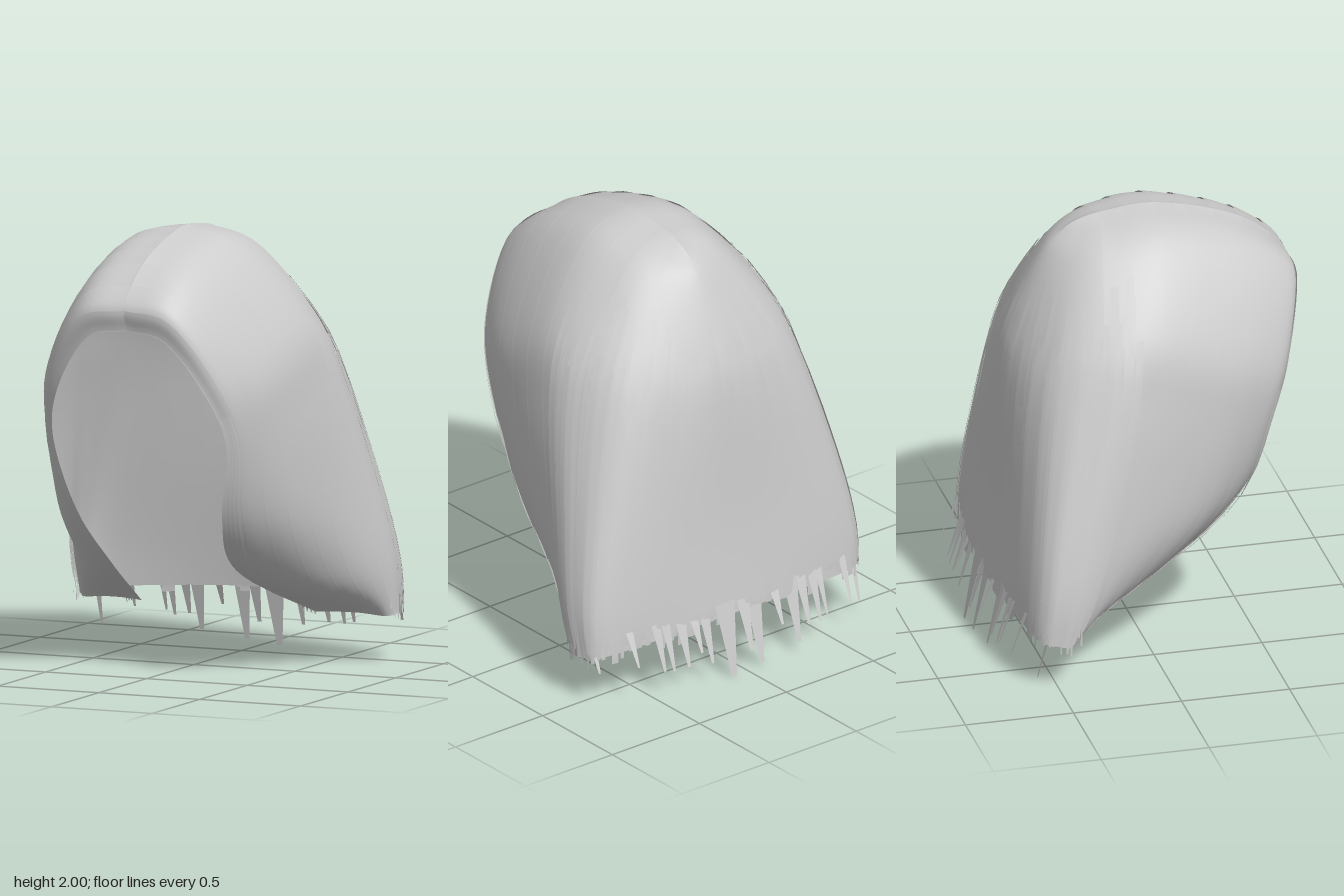
import * as THREE from 'three';

// Guide strands of the left half, from the parting down to the tip (x, y, z)
const guides = {
  fringeEdge: [0, 1.6, .72, .19, 1.56, .72, .36, 1.33, .66, .43, 1.08, .57, .36, .74, .47, .31, .47, .21, .43, .22, -.36],
  fringe: [0, 1.73, .72, .23, 1.68, .71, .43, 1.38, .61, .49, 1.1, .5, .46, .72, .37, .43, .42, .08, .52, .22, -.4],
  frontSide: [0, 1.9, .5, .26, 1.82, .48, .51, 1.46, .38, .57, 1.15, .3, .58, .72, .18, .57, .41, -.07, .63, .22, -.41],
  crown: [0, 2, .14, .27, 1.92, .12, .54, 1.58, .04, .62, 1.25, -.02, .68, .75, -.15, .72, .43, -.28, .75, .21, -.43],
  rearSide: [0, 1.985, -.11, .25, 1.89, -.15, .51, 1.57, -.21, .61, 1.28, -.26, .72, .77, -.38, .77, .45, -.45, .77, .22, -.5],
  rearCorner: [0, 1.96, -.22, .17, 1.85, -.3, .36, 1.56, -.41, .46, 1.28, -.48, .59, .77, -.55, .65, .45, -.585, .66, .24, -.6],
  backCentre: [0, 1.93, -.28, 0, 1.82, -.39, 0, 1.52, -.53, 0, 1.28, -.575, 0, .77, -.605, 0, .45, -.635, 0, .27, -.655],
};

function strandCurve(n, sx) {
  const pts = [];
  for (let i = 0; i < n.length; i += 3) pts.push(new THREE.Vector3(n[i] * sx, n[i + 1], n[i + 2]));
  return new THREE.CatmullRomCurve3(pts, false, 'catmullrom', 0.5);
}
const left = Object.values(guides);
const strands = [
  ...left.map((g) => strandCurve(g, 1)),
  ...left.slice(0, -1).reverse().map((g) => strandCurve(g, -1)),
];
const LAST = strands.length - 1; // t runs 0 (left fringe) .. 6 (back) .. 12 (right fringe)

// Point on the hair surface
function surf(t, v) {
  const across = strands.map((c) => c.getPoint(v));
  return new THREE.CatmullRomCurve3(across, false, 'catmullrom', 0.5).getPoint(t / LAST);
}

// Point lifted off the hair surface along its outward normal
function lifted(t, v, h) {
  const p = surf(t, v), e = 0.02;
  const dv = surf(t, Math.min(1, v + e)).sub(surf(t, Math.max(0, v - e)));
  const dt = surf(Math.min(LAST, t + e), v).sub(surf(Math.max(0, t - e), v));
  return p.addScaledVector(dv.cross(dt).normalize(), h);
}

// Grid surface from a rule (column, row) -> point
function sheet(cols, rows, rule) {
  const pos = [], idx = [];
  for (let i = 0; i <= cols; i++)
    for (let j = 0; j <= rows; j++) pos.push(...rule(i / cols, j / rows).toArray());
  for (let i = 0; i < cols; i++)
    for (let j = 0; j < rows; j++) {
      const a = i * (rows + 1) + j, b = a + rows + 1;
      idx.push(a, a + 1, b, a + 1, b + 1, b);
    }
  const g = new THREE.BufferGeometry();
  g.setAttribute('position', new THREE.Float32BufferAttribute(pos, 3));
  g.setIndex(idx);
  g.computeVertexNormals();
  return g;
}

let seed = 7;
const rand = (a = 0, b = 1) => {
  seed = (seed * 16807) % 2147483647;
  return a + (b - a) * (seed / 2147483647);
};

export function createModel() {
  const model = new THREE.Group();
  model.name = 'hair';
  const hair = new THREE.MeshStandardMaterial({ color: 0xcccccc, side: THREE.DoubleSide });
  hair.name = 'hair grey';
  const add = (name, geometry, parent = model) => {
    const m = new THREE.Mesh(geometry, hair);
    m.name = name;
    parent.add(m);
  };
  const group = (name) => {
    const g = new THREE.Group();
    g.name = name;
    model.add(g);
    return g;
  };

  // Main shell, parted along the middle
  add('hairShell', sheet(108, 48, (a, b) => surf(a * LAST, b)));

  // Broad combed bands over the shell, each rising slightly above the next
  const bands = group('combedBands');
  const edges = [0.05, 0.75, 1.4, 1.9, 2.3, 2.65, 3.05, 3.55, 4.1];
  for (let i = 0; i < edges.length - 1; i++)
    for (const right of [false, true])
      add('combedBand', sheet(6, 36, (a, b) => {
        const k = right ? 1 - a : a;
        const t = edges[i] + (edges[i + 1] - edges[i]) * k;
        const h = (0.001 + 0.006 * k) * Math.min(1, b * 20);
        return lifted(right ? LAST - t : t, 0.002 + 0.99 * b, h);
      }), bands);

  // Lining inside the back, with a stepped upper edge
  add('backLining', sheet(24, 12, (a, b) => {
    const top = 0.53 + 0.04 * (Math.floor(a * 6) % 2);
    return lifted(4.6 + a * 2.8, top + (0.98 - top) * b, -0.012);
  }));

  // Layered locks lying over the back and sides, with ragged ends
  const lock = (name, t, w, v0, v1, h, drop, parent) => {
    add(name, sheet(2, 12, (a, b) => {
      const taper = b > 0.9 ? 0.55 : 1;
      const v = v0 + (v1 - v0) * Math.min(1, b / 0.92);
      const p = lifted(t + (a - 0.5) * w * taper, v, h * Math.min(1, 0.4 + b * 2));
      if (b > 0.93) p.y -= drop;
      return p;
    }), parent);
  };
  const backLocks = group('backLocks');
  for (let i = 0; i < 110; i++) {
    const t = 3.4 + 5.2 * ((i + rand()) / 110);
    lock('backLock', t, rand(0.07, 0.17), rand(0.22, 0.4), rand(0.93, 1),
      rand(0.004, 0.026), rand(0, 0.06), backLocks);
  }

  // Loose wisps along the front edges
  const wisps = group('frontWisps');
  for (const side of [0, 1])
    for (let i = 0; i < 4; i++) {
      const t = 0.15 + i * 0.16;
      lock('frontWisp', side ? LAST - t : t, 0.12, 0.42, 0.97, 0.006 + 0.004 * i, 0.02, wisps);
    }

  // Pointed ends hanging below the back hem: x, tip height, width
  const ends = group('hangingEnds');
  const tips = [[.08, 0, .11], [-.08, .02, .09], [-.02, .1, .07], [-.3, .05, .08], [-.36, .12, .06],
    [-.43, .11, .05], [-.47, .13, .04], [.2, .1, .06], [.26, .17, .05], [.33, .12, .06], [.41, .12, .05],
    [.46, .13, .05], [-.2, .17, .05], [-.62, .14, .04], [-.74, .07, .04], [.75, .17, .04], [.6, .19, .04]];
  for (const [x, y, w] of tips) {
    const edge = Math.abs(x) > 0.66;
    const z = edge ? -0.53 : -0.66 + 0.1 * x * x;
    add('hangingEnd', sheet(2, 4, (a, b) => new THREE.Vector3(
      x - (a - 0.5) * w * (1 - 0.75 * b), 0.34 + (y - 0.34) * b, z - 0.07 * b)), ends);
  }
  return model;
}
